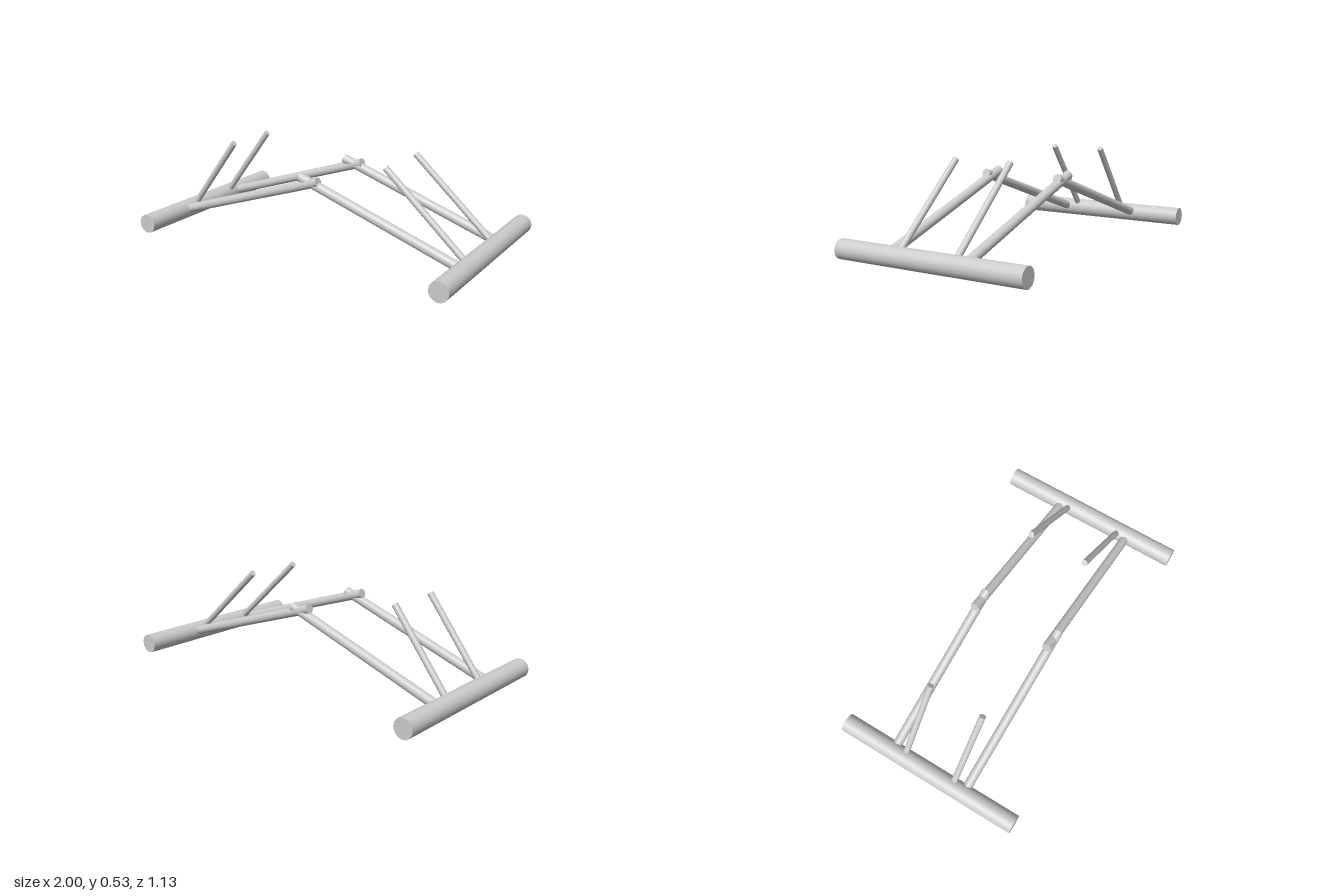
import * as THREE from 'three';

const material = new THREE.MeshStandardMaterial({ color: 0xcccccc });
const UP = new THREE.Vector3(0, 1, 0);

// Round bar running between two points
function bar(name, from, to, radius) {
  const a = new THREE.Vector3(...from);
  const b = new THREE.Vector3(...to);
  const dir = b.clone().sub(a);
  const mesh = new THREE.Mesh(new THREE.CylinderGeometry(radius, radius, dir.length(), 32), material);
  mesh.name = name;
  mesh.position.copy(a).add(b).multiplyScalar(0.5);
  mesh.quaternion.setFromUnitVectors(UP, dir.normalize());
  return mesh;
}

export function createModel() {
  const model = new THREE.Group();
  model.name = 'crossedPoleFrame';

  // Each side: log axis, rafter tip, brace tip, and z at base and tip of each bar
  const sides = [
    {
      side: 'right', log: [-0.945, 0.055], rafterTip: [0.063, 0.397], braceTip: [-0.594, 0.508],
      rafters: [[0.232, 0.254], [-0.242, -0.22]], braces: [[0.155, 0.163], [-0.168, -0.162]],
    },
    {
      side: 'left', log: [0.945, 0.08], rafterTip: [-0.062, 0.405], braceTip: [0.446, 0.521],
      rafters: [[0.263, 0.245], [-0.203, -0.223]], braces: [[0.2, 0.192], [-0.148, -0.155]],
    },
  ];

  for (const s of sides) {
    const group = new THREE.Group();
    group.name = s.side + 'Side';

    // Heavy ground log
    group.add(bar(s.side + 'Log', [...s.log, -0.565], [...s.log, 0.565], 0.055));

    // Long rafters crossing at the ridge, and short upright braces
    ['Front', 'Back'].forEach((end, i) => {
      const [r0, r1] = s.rafters[i];
      const [b0, b1] = s.braces[i];
      group.add(bar(s.side + end + 'Rafter', [...s.log, r0], [...s.rafterTip, r1], 0.027));
      group.add(bar(s.side + end + 'Brace', [...s.log, b0], [...s.braceTip, b1], 0.018));
    });
    model.add(group);
  }
  return model;
}
